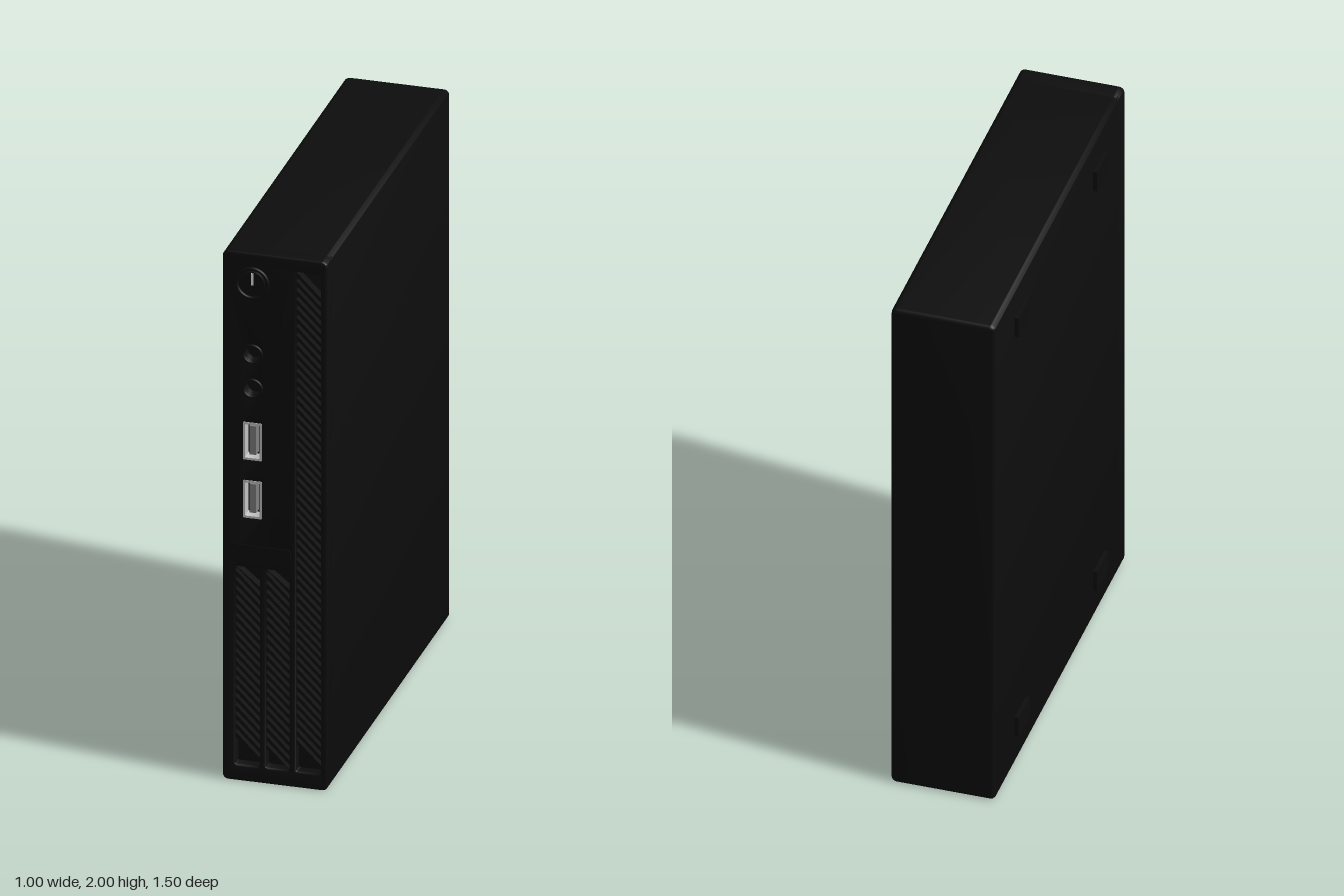
import * as THREE from 'three';
import { toCreasedNormals } from 'three/addons/utils/BufferGeometryUtils.js';

const W = 0.376, H = 2, L = 1.492, FRONT = L / 2, FLOOR = 0.705, PORT_X = -0.08;
const mat = (name, color) => {
  const m = new THREE.MeshStandardMaterial({ color });
  m.name = name;
  return m;
};

// Closed outline of a rectangle with rounded corners
function roundedRect(Type, x0, y0, x1, y1, r) {
  const s = new Type();
  s.moveTo(x0 + r, y0);
  s.absarc(x1 - r, y0 + r, r, -Math.PI / 2, 0);
  s.absarc(x1 - r, y1 - r, r, 0, Math.PI / 2);
  s.absarc(x0 + r, y1 - r, r, Math.PI / 2, Math.PI);
  s.absarc(x0 + r, y0 + r, r, Math.PI, Math.PI * 1.5);
  s.closePath();
  return s;
}

// Extrusion between two z planes, with an inset rounded edge
function slab(shape, z0, z1, bevel = 0) {
  const g = new THREE.ExtrudeGeometry(shape, {
    depth: z1 - z0 - 2 * bevel, bevelEnabled: bevel > 0, bevelThickness: bevel,
    bevelSize: bevel, bevelOffset: -bevel, bevelSegments: 3, curveSegments: 6,
  });
  g.translate(0, 0, z0 + bevel);
  return toCreasedNormals(g, 0.6);
}

export function createModel() {
  const black = mat('black casing', 0x0d0d0d);
  const metal = mat('port metal', 0xc4c4c4);
  const grey = mat('port tongue', 0x808080);
  const white = mat('power light', 0xe8e8e8);

  const group = new THREE.Group();
  const unit = new THREE.Group();
  unit.name = 'computer';
  unit.rotation.y = Math.atan(0.5);
  group.add(unit);
  const add = (name, geometry, material, x = 0, y = 0, z = 0) => {
    const m = new THREE.Mesh(geometry, material);
    m.name = name;
    m.position.set(x, y, z);
    unit.add(m);
    return m;
  };
  const outline = () => roundedRect(THREE.Shape, -W / 2, 0, W / 2, H, 0.02);

  // Main casing, whose front forms the floor of the openings
  add('casing', slab(outline(), -FRONT, FLOOR, 0.014), black);

  // Front bezel with vents, sockets and round jacks cut out
  const vents = [
    [0.075, 0.06, 0.163, 1.95],
    [-0.143, 0.06, -0.056, 0.81],
    [-0.033, 0.06, 0.051, 0.81],
  ];
  const usb = [1.07, 1.29], jacks = [1.49, 1.62];
  const front = outline();
  for (const v of vents) front.holes.push(roundedRect(THREE.Path, ...v, 0.006));
  for (const y of usb) {
    front.holes.push(roundedRect(THREE.Path, PORT_X - 0.028, y - 0.064, PORT_X + 0.028, y + 0.064, 0.004));
  }
  for (const y of jacks) {
    const hole = new THREE.Path();
    hole.absarc(PORT_X, y, 0.03, 0, Math.PI * 2);
    front.holes.push(hole);
  }
  add('frontBezel', slab(front, 0.67, FRONT, 0.006), black);

  // Diagonal slats inside each vent
  for (const [x0, y0, x1, y1] of vents) {
    const shapes = [], rise = x1 - x0;
    for (let y = y0 - rise; y < y1; y += 0.034) {
      const clamp = (v) => Math.min(y1, Math.max(y0, v));
      const a = clamp(y), b = clamp(y + rise), t = 0.017;
      const c = clamp(y + t), d = clamp(y + rise + t);
      if (c - a < 0.001 || d - b < 0.001) continue;
      shapes.push(new THREE.Shape([
        new THREE.Vector2(x0, b), new THREE.Vector2(x1, a),
        new THREE.Vector2(x1, c), new THREE.Vector2(x0, d),
      ]));
    }
    add('ventSlats', slab(shapes, FLOOR - 0.005, FRONT - 0.008), black);
  }

  // USB sockets: metal shell and grey tongue
  for (const y of usb) {
    const shell = roundedRect(THREE.Shape, -0.034, -0.071, 0.034, 0.071, 0.004);
    shell.holes.push(roundedRect(THREE.Path, -0.026, -0.063, 0.026, 0.063, 0.003));
    add('usbShell', slab(shell, FLOOR - 0.005, FRONT + 0.002), metal, PORT_X, y);
    add('usbTongue', new THREE.BoxGeometry(0.024, 0.108, 0.036), grey, PORT_X - 0.002, y, FLOOR + 0.015);
  }

  // Audio jacks: raised rims around the holes
  for (const y of jacks) {
    add('jackRim', new THREE.TorusGeometry(0.033, 0.005, 8, 28), black, PORT_X, y, FRONT);
  }

  // Power button with its small light
  add('buttonRim', new THREE.TorusGeometry(0.056, 0.006, 8, 36), black, PORT_X, 1.89, FRONT + 0.003);
  const button = new THREE.CylinderGeometry(0.044, 0.046, 0.014, 36);
  button.rotateX(Math.PI / 2);
  add('powerButton', button, black, PORT_X, 1.89, FRONT + 0.002);
  add('powerLight', new THREE.BoxGeometry(0.009, 0.045, 0.004), white, PORT_X + 0.002, 1.908, FRONT + 0.01);

  // Pull tab above the lower vents
  add('pullTab', slab(roundedRect(THREE.Shape, -0.165, 0.83, 0.055, 0.895, 0.008), FRONT - 0.004, FRONT + 0.003), black);

  // Four feet on the right side panel
  for (const y of [0.16, 1.85]) {
    for (const z of [-0.457, 0.445]) {
      add('foot', new THREE.BoxGeometry(0.03, 0.08, 0.13), black, -W / 2, y, z);
    }
  }
  return group;
}
